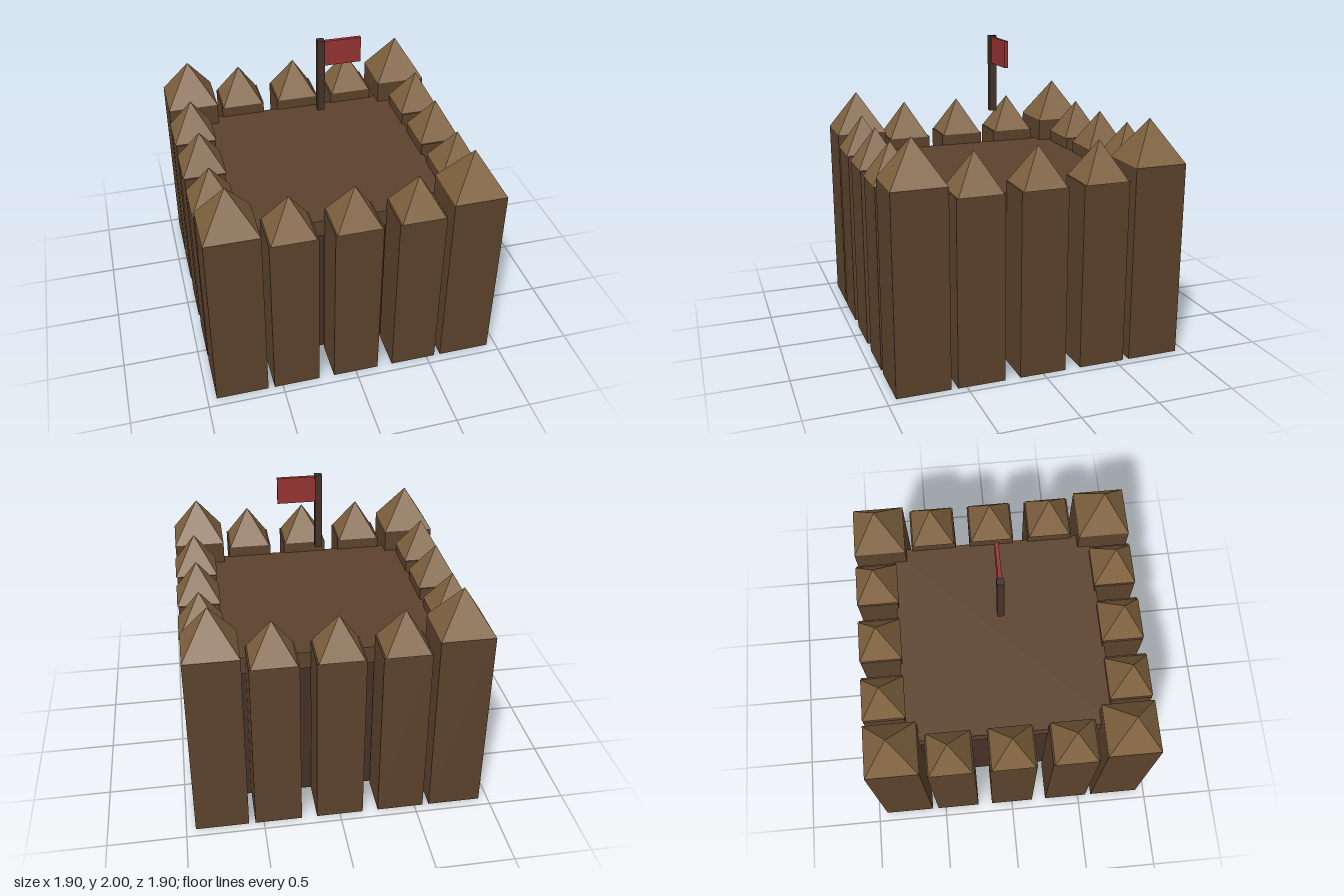
import * as THREE from 'three';

const paint = (color) => new THREE.MeshStandardMaterial({ color, flatShading: true });

export function createModel() {
  const model = new THREE.Group();
  const wood = paint(0x5c422c);
  const roof = paint(0x80623f);
  const darkWood = paint(0x453228);
  const red = paint(0x943432);

  function box(parent, name, [w, h, d], [x, y, z], material) {
    const mesh = new THREE.Mesh(new THREE.BoxGeometry(w, h, d), material);
    mesh.name = name;
    mesh.position.set(x, y, z);
    parent.add(mesh);
  }

  // A square post standing on the ground with a pyramid point on top
  function post(name, x, z, width, height, depth, capWidth, capHeight) {
    const group = new THREE.Group();
    group.name = name;
    group.position.set(x, 0, z);
    box(group, 'shaft', [width, height, depth], [0, height / 2, 0], wood);
    const geometry = new THREE.ConeGeometry(capWidth / Math.SQRT2, capHeight, 4).rotateY(Math.PI / 4);
    const cap = new THREE.Mesh(geometry, roof);
    cap.name = 'point';
    cap.position.y = height + capHeight / 2;
    group.add(cap);
    model.add(group);
    return group;
  }

  // Dark inner core and the platform resting on it
  box(model, 'core', [1.31, 1.005, 1.31], [0, 0.5025, 0], darkWood);
  box(model, 'platform', [1.376, 0.115, 1.376], [0, 1.06, 0], wood);

  // Taller corner posts
  for (const sx of [-1, 1]) {
    for (const sz of [-1, 1]) {
      post('cornerPost', sx * 0.769, sz * 0.769, 0.343, 1.27, 0.343, 0.343, 0.27);
    }
  }

  // Three wall posts on each of the four sides
  for (let side = 0; side < 4; side++) {
    const angle = side * Math.PI / 2;
    for (const t of [-0.404, 0, 0.404]) {
      const x = t * Math.cos(angle) + 0.807 * Math.sin(angle);
      const z = -t * Math.sin(angle) + 0.807 * Math.cos(angle);
      post('wallPost', x, z, 0.303, 1.195, 0.268, 0.283, 0.245).rotation.y = angle;
    }
  }

  // Flagpole floating over the platform, with its flag
  box(model, 'flagpole', [0.046, 0.5, 0.046], [0, 1.75, 0], darkWood);
  box(model, 'flag', [0.24, 0.17, 0.024], [0.142, 1.905, 0], red);

  return model;
}
